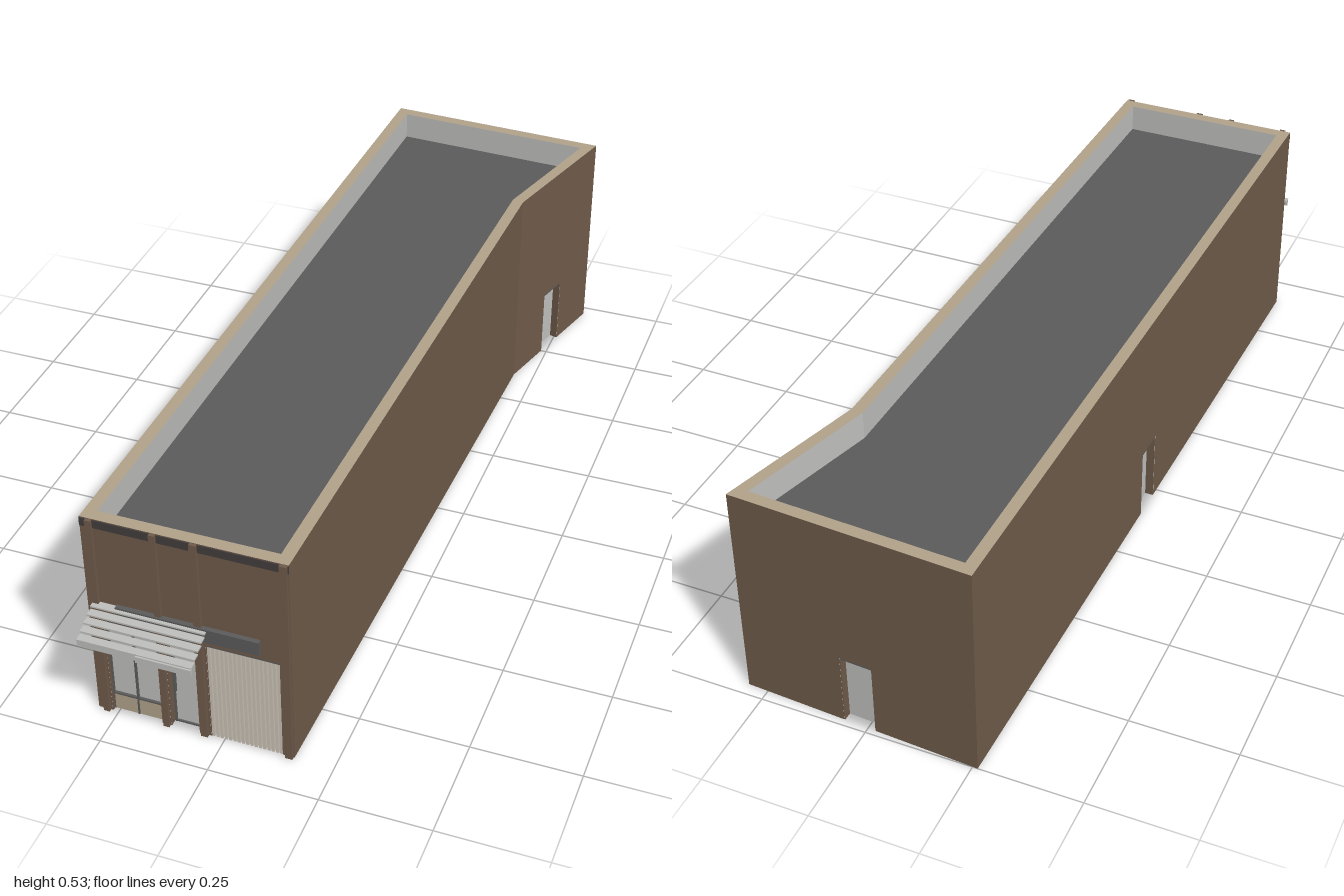
import * as THREE from 'three';

const mat = (name, color) => {
  const m = new THREE.MeshStandardMaterial({ color });
  m.name = name;
  return m;
};

const HEIGHT = 0.533, THICK = 0.028, ROOF_Y = 0.465, FRONT_Z = 0.905;

// Footprint corners as [x, z], starting at the front, with outward = right of travel
const FOOTPRINT = [[-0.298, 0.905], [0.16, 0.905], [0.198, -0.616], [0.298, -0.971], [-0.262, -1.0]]
  .map(([x, z]) => new THREE.Vector2(x, z));

const along = (p, q) => q.clone().sub(p).normalize();
const outward = (d) => new THREE.Vector2(-d.y, d.x);

// Mitred inset of the footprint
function inset(points, t) {
  const n = points.length;
  return points.map((v, i) => {
    const a = outward(along(points[(i + n - 1) % n], v));
    const b = outward(along(v, points[(i + 1) % n]));
    const k = t / (1 + a.dot(b));
    return v.clone().sub(a.add(b).multiplyScalar(k));
  });
}

// Wall elevation with openings that rise from the ground: [start, end, height]
function elevation(length, openings) {
  const pts = [[0, 0]];
  for (const [a, b, h] of openings) pts.push([a, 0], [a, h], [b, h], [b, 0]);
  pts.push([length, 0], [length, HEIGHT], [0, HEIGHT]);
  return new THREE.ShapeGeometry(new THREE.Shape(pts.map((p) => new THREE.Vector2(...p))));
}

export function createModel() {
  const model = new THREE.Group();
  model.name = 'shopBuilding';
  const brown = mat('brownWall', 0x705c4b);
  const tan = mat('tanStone', 0xb3a38b);
  const light = mat('lightGrey', 0xc0c0be);
  const dark = mat('darkGrey', 0x5c5c5c);
  const charcoal = mat('charcoalBand', 0x443f3f);
  const cream = mat('creamSlats', 0xcbc3b6);

  const add = (parent, name, geometry, material) => {
    const m = new THREE.Mesh(geometry, material);
    m.name = name;
    parent.add(m);
    return m;
  };
  // Box given by its limits on each axis
  const box = (parent, name, material, [x0, x1], [y0, y1], [z0, z1]) => {
    const m = add(parent, name, new THREE.BoxGeometry(x1 - x0, y1 - y0, z1 - z0), material);
    m.position.set((x0 + x1) / 2, (y0 + y1) / 2, (z0 + z1) / 2);
    return m;
  };
  const place = (object, p, d) => {
    object.position.set(p.x, 0, p.y);
    object.rotation.y = Math.atan2(-d.y, d.x);
    return object;
  };

  // ---- Walls: brown outer face, grey inner face, openings with reveals
  const inner = inset(FOOTPRINT, THICK);
  const openings = [
    [[0.033, 0.153, 0.26], [0.172, 0.241, 0.26], [0.266, 0.433, 0.262]],
    [],
    [[0.139, 0.222, 0.18]],
    [[0.24, 0.318, 0.18]],
    [[0.9, 0.98, 0.18]],
  ];
  const wallNames = ['frontWall', 'leftWall', 'leftAngledWall', 'backWall', 'rightWall'];
  FOOTPRINT.forEach((p, i) => {
    const j = (i + 1) % FOOTPRINT.length;
    const q = FOOTPRINT[j], d = along(p, q), list = openings[i];
    const wall = place(new THREE.Group(), p, d);
    wall.name = wallNames[i];
    model.add(wall);
    add(wall, 'outerFace', elevation(p.distanceTo(q), list), brown);

    const end = inner[j].clone().sub(p).dot(d);
    const mirrored = list.map(([a, b, h]) => [end - b, end - a, h]).reverse();
    const face = add(model, wallNames[i] + 'InnerFace', elevation(inner[i].distanceTo(inner[j]), mirrored), light);
    place(face, inner[j], d.clone().negate());

    for (const [a, b, h] of list) {
      const depth = [-THICK, -0.0005];
      box(wall, 'jamb', brown, [a, a + 0.002], [0, h], depth);
      box(wall, 'jamb', brown, [b - 0.002, b], [0, h], depth);
      box(wall, 'lintel', dark, [a, b], [h - 0.004, h], depth);
      if (i > 0) {
        box(wall, 'serviceDoor', light, [a, b], [0, h], [-0.024, -0.02]);
        box(wall, 'doorLining', dark, [a, b], [0, h], [-0.027, -0.024]);
      }
    }
  });

  // ---- Coping, wall base and flat roof
  const ring = (sign) => {
    const flat = (pts) => pts.map((v) => new THREE.Vector2(v.x, sign * v.y));
    const s = new THREE.Shape(flat(FOOTPRINT));
    s.holes.push(new THREE.Path(flat(inner)));
    return new THREE.ShapeGeometry(s);
  };
  const coping = add(model, 'coping', ring(-1), tan);
  coping.rotation.x = -Math.PI / 2;
  coping.position.y = HEIGHT;
  const base = add(model, 'wallBase', ring(1), brown);
  base.rotation.x = Math.PI / 2;
  const roofShape = new THREE.Shape(inner.map((v) => new THREE.Vector2(v.x, -v.y)));
  const roof = add(model, 'roof', new THREE.ExtrudeGeometry(roofShape, { depth: 0.02, bevelEnabled: false }), dark);
  roof.rotation.x = -Math.PI / 2;
  roof.position.y = ROOF_Y - 0.02;

  // ---- Shopfront pilasters, top band and sign board
  for (const [a, b] of [[-0.283, -0.269], [-0.141, -0.127], [-0.053, -0.037], [0.141, 0.158]]) {
    box(model, 'pilaster', brown, [a, b], [0, HEIGHT - 0.001], [FRONT_Z, 0.913]);
  }
  box(model, 'topBand', charcoal, [-0.298, 0.16], [0.511, HEIGHT - 0.002], [FRONT_Z, FRONT_Z + 0.002]);
  box(model, 'signBoard', dark, [-0.23, 0.093], [0.28, 0.315], [FRONT_Z, 0.916]);

  // ---- Display window
  const shopWindow = new THREE.Group();
  shopWindow.name = 'displayWindow';
  model.add(shopWindow);
  box(shopWindow, 'glass', light, [-0.265, -0.145], [0.045, 0.26], [0.888, 0.892]);
  box(shopWindow, 'sillPanel', tan, [-0.265, -0.145], [0, 0.045], [0.885, 0.896]);
  for (const y of [0.046, 0.235]) {
    box(shopWindow, 'rail', dark, [-0.265, -0.145], [y - 0.002, y + 0.002], [0.885, 0.898]);
  }
  for (const x of [-0.263, -0.205, -0.147]) {
    box(shopWindow, 'mullion', dark, [x - 0.002, x + 0.002], [0, 0.26], [0.885, 0.898]);
  }

  // ---- Entrance door with transom
  const entrance = new THREE.Group();
  entrance.name = 'entrance';
  model.add(entrance);
  box(entrance, 'doorGlass', light, [-0.126, -0.057], [0, 0.26], [0.882, 0.886]);
  for (const y of [0.003, 0.199, 0.235]) {
    box(entrance, 'rail', dark, [-0.126, -0.057], [y - 0.002, y + 0.002], [0.88, 0.89]);
  }
  box(entrance, 'doorStile', dark, [-0.122, -0.118], [0, 0.199], [0.88, 0.89]);
  box(entrance, 'doorHandle', dark, [-0.118, -0.115], [0.09, 0.19], [0.886, 0.894]);
  box(entrance, 'doorLining', dark, [-0.12, -0.06], [0, 0.197], [0.878, 0.882]);

  // ---- Slatted screen
  const screen = new THREE.Group();
  screen.name = 'slattedScreen';
  model.add(screen);
  box(screen, 'backing', brown, [-0.032, 0.135], [0, 0.262], [0.878, 0.886]);
  const slats = 17, pitch = 0.167 / slats;
  for (let i = 0; i < slats; i++) {
    const x = -0.032 + pitch * (i + 0.5);
    box(screen, 'slat', cream, [x - 0.0033, x + 0.0033], [0, 0.262], [0.886, 0.904]);
  }
  for (const y of [0.008, 0.254]) {
    box(screen, 'screenRail', cream, [-0.032, 0.135], [y - 0.003, y + 0.003], [0.886, 0.895]);
  }

  // ---- Stepped louvre canopy over the window and entrance
  const canopy = new THREE.Group();
  canopy.name = 'canopy';
  model.add(canopy);
  for (let i = 0; i < 5; i++) {
    const y = 0.309 - i * 0.008, z = 0.905 + i * 0.018;
    box(canopy, 'louvre', light, [-0.283, -0.024], [y - 0.002, y + 0.002], [z, z + 0.019]);
  }
  box(canopy, 'fascia', light, [-0.283, -0.148], [0.259, 0.278], [0.99, 0.994]);
  box(canopy, 'fascia', light, [-0.148, -0.023], [0.26, 0.276], [0.994, 1.0]);
  return model;
}
